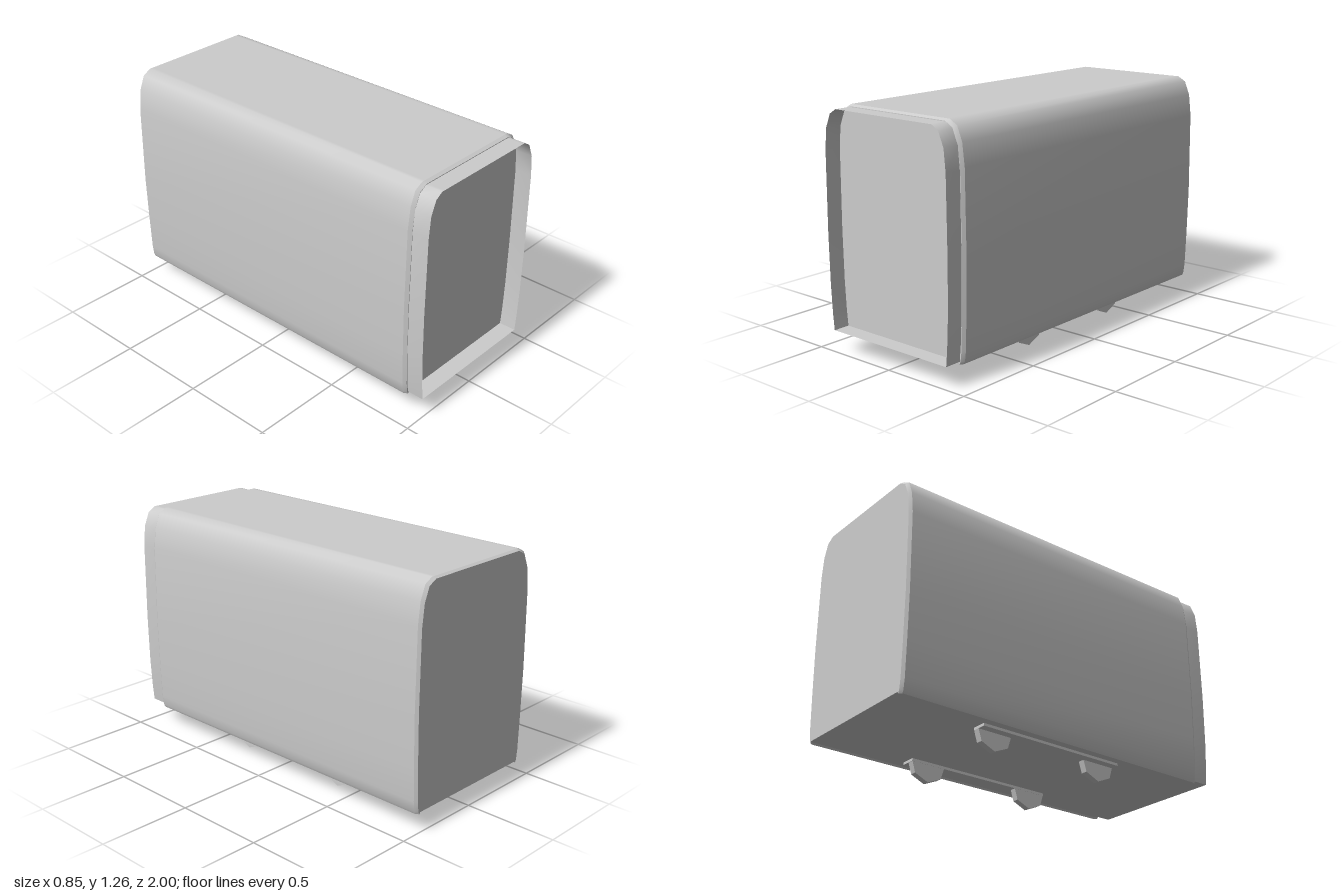
import * as THREE from 'three';
import { mergeGeometries, toCreasedNormals } from 'three/addons/utils/BufferGeometryUtils.js';

// Right half of each cross-section, top to bottom
const BODY = [[0.31, 1.263], [0.33, 1.263], [0.376, 1.238], [0.406, 1.165], [0.42, 1.05],
  [0.425, 0.62], [0.42, 0.36], [0.414, 0.17], [0.407, 0.115], [0.4, 0.1], [0.393, 0.109]];
const COLLAR = [[0.305, 1.251], [0.323, 1.251], [0.364, 1.225], [0.395, 1.152], [0.406, 1.04],
  [0.41, 0.62], [0.406, 0.36], [0.398, 0.2], [0.39, 0.115]];

// Full clockwise outline, drawn in by an inset
function outline(half, inset = 0) {
  const right = half.map(([x, y]) => [x - inset, y > 1 ? y - inset * 0.7 : y]);
  return [...right, ...right.map(([x, y]) => [-x, y]).reverse()];
}

// Smooth band of quads between two outlines, z0 behind z1
function band(a, z0, b, z1) {
  const pos = [];
  a.forEach((p, i) => {
    const j = (i + 1) % a.length;
    const A = [...p, z0], B = [...a[j], z0], C = [...b[j], z1], D = [...b[i], z1];
    pos.push(...A, ...D, ...C, ...A, ...C, ...B);
  });
  const g = new THREE.BufferGeometry();
  g.setAttribute('position', new THREE.Float32BufferAttribute(pos, 3));
  return toCreasedNormals(g, 0.8);
}

// Flat end wall filling an outline
function wall(pts, z, back = false) {
  const shape = new THREE.Shape(pts.map(([x, y]) => new THREE.Vector2(back ? -x : x, y)));
  const g = new THREE.ShapeGeometry(shape);
  if (back) g.rotateY(Math.PI);
  return g.translate(0, 0, z);
}

export function createModel() {
  const group = new THREE.Group();
  const grey = new THREE.MeshStandardMaterial({ color: 0xcccccc });
  grey.name = 'grey';
  grey.side = THREE.DoubleSide;
  const add = (name, geometry) => {
    const mesh = new THREE.Mesh(geometry, grey);
    mesh.name = name;
    group.add(mesh);
    return mesh;
  };

  // Long body with softened ends
  const full = outline(BODY), end = outline(BODY, 0.012);
  add('bodyShell', mergeGeometries([
    band(end, -1, full, -0.985),
    band(full, -0.985, full, 0.89),
    band(full, 0.89, end, 0.908),
  ]));
  add('backWall', wall(end, -1, true));
  add('frontWall', wall(end, 0.908));

  // Open collar standing out from the front
  const collar = outline(COLLAR);
  add('frontCollar', band(collar, 0.9, collar, 1));

  // Faceted half-round feet and the thin rails they hang from
  const foot = new THREE.Shape([[-0.1, 0.11], [-0.1, 0.1], [-0.08, 0.035], [0, 0], [0.08, 0.035],
    [0.1, 0.1], [0.1, 0.11]].map(([z, y]) => new THREE.Vector2(z, y)));
  const footGeometry = new THREE.ExtrudeGeometry(foot, { depth: 0.036, bevelEnabled: false })
    .translate(0, 0, -0.018).rotateY(Math.PI / 2);
  for (const side of [-1, 1]) {
    for (const z of [0.29, -0.38]) add('foot', footGeometry).position.set(side * 0.279, 0, z);
    add('underRail', new THREE.BoxGeometry(0.08, 0.016, 0.87)).position.set(side * 0.3, 0.103, -0.045);
  }
  return group;
}
